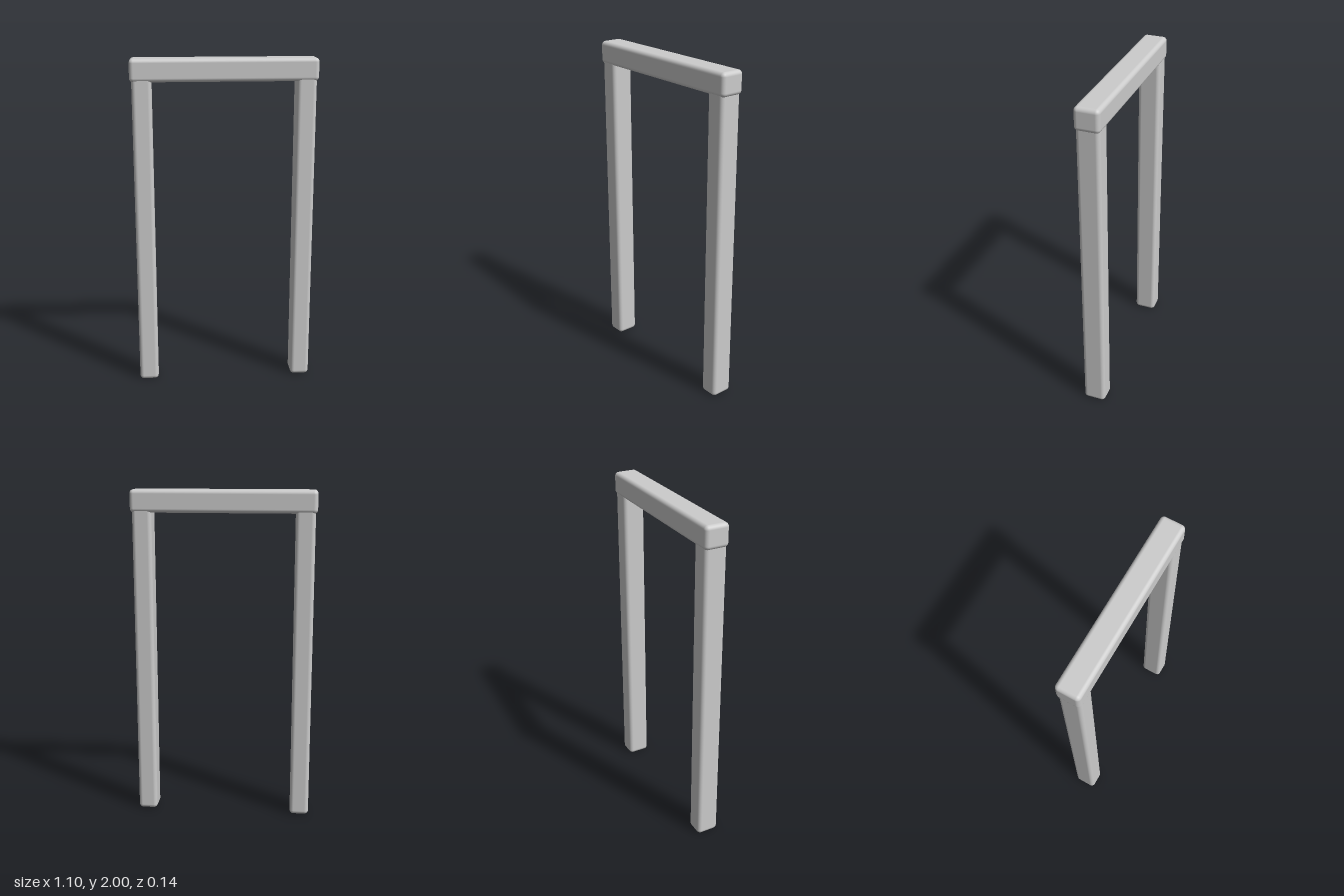
import * as THREE from 'three';
import { RoundedBoxGeometry } from 'three/addons/geometries/RoundedBoxGeometry.js';

export function createModel() {
  const group = new THREE.Group();
  group.name = 'gateFrame';
  const grey = new THREE.MeshStandardMaterial({ color: 0xcccccc });
  grey.name = 'light grey';

  // Softly bevelled bar, placed by its bottom and top heights
  function addBar(name, width, depth, bottom, top, x, radius) {
    const height = top - bottom;
    const mesh = new THREE.Mesh(new RoundedBoxGeometry(width, height, depth, 4, radius), grey);
    mesh.name = name;
    mesh.position.set(x, bottom + height / 2, 0);
    group.add(mesh);
  }

  // Upright posts, tucked slightly into the crossbar
  for (const side of [1, -1]) {
    addBar(side > 0 ? 'leftPost' : 'rightPost', 0.116, 0.135, 0, 1.91, side * 0.479, 0.024);
  }

  // Crossbar, a little wider and deeper than the posts
  addBar('crossbar', 1.096, 0.145, 1.866, 2, 0, 0.024);

  return group;
}
